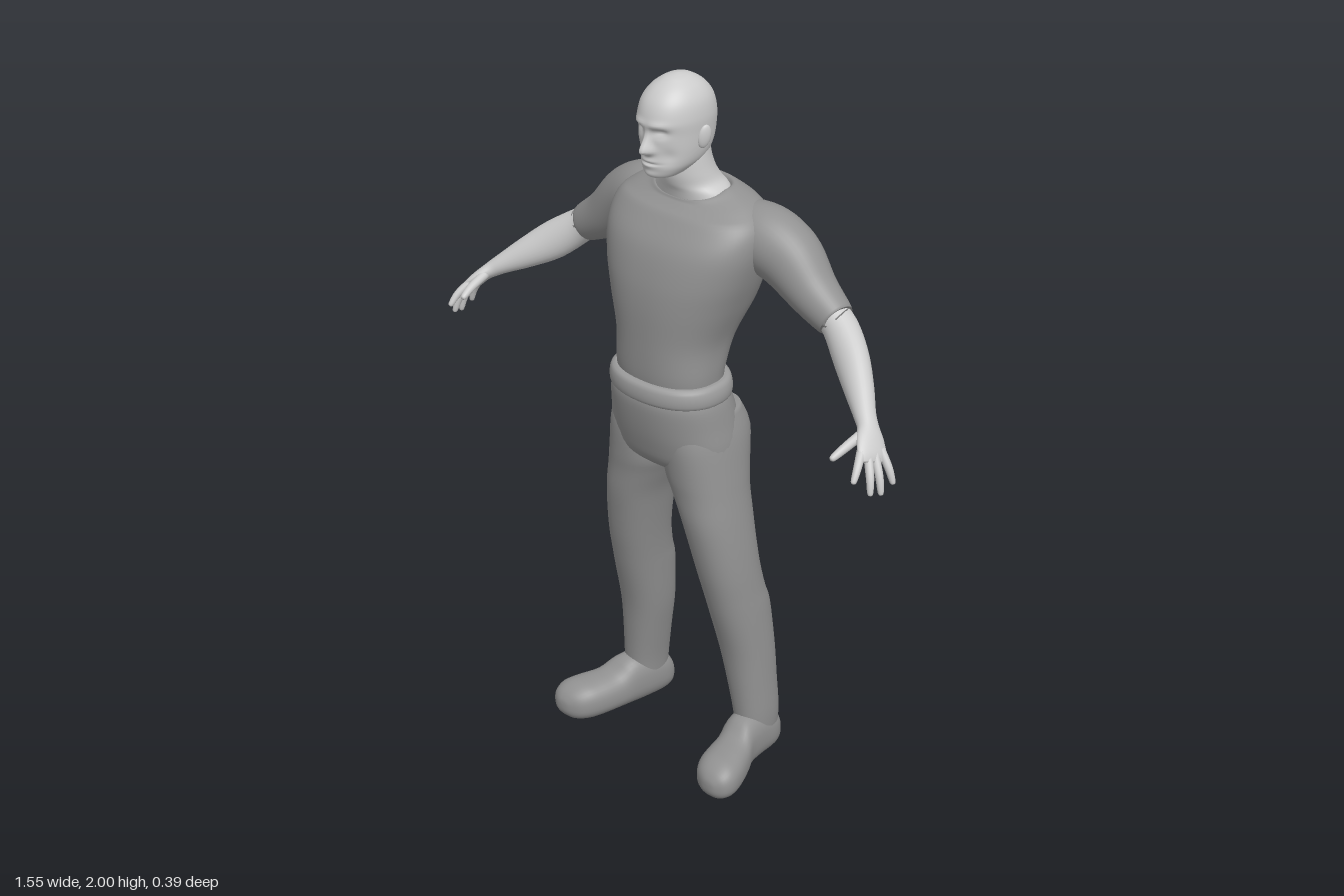
import * as THREE from 'three';

const V = (x, y, z) => new THREE.Vector3(x, y, z);
const bell = (d, w) => Math.exp(-(d * d) / (w * w));

// Smoothly subdivide a list of numeric rows (Catmull-Rom)
function refine(rows, steps) {
  const out = [];
  const at = (i) => rows[Math.min(Math.max(i, 0), rows.length - 1)];
  for (let i = 0; i < rows.length - 1; i++) {
    for (let k = 0; k < steps; k++) {
      const t = k / steps;
      out.push(at(i).map((b, c) => {
        const a = at(i - 1)[c], d = at(i + 1)[c], e = at(i + 2)[c];
        return b + 0.5 * t * (d - a + t * (2 * a - 5 * b + 4 * d - e + t * (3 * (b - d) + e - a)));
      }));
    }
  }
  out.push(rows[rows.length - 1]);
  return out;
}

// Superellipse ring around c with half axes u and v
function ring(c, u, v, n, p) {
  const bend = (s) => Math.sign(s) * Math.abs(s) ** (2 / p);
  return Array.from({ length: n }, (_, j) => {
    const a = (j / n) * Math.PI * 2;
    return c.clone().addScaledVector(u, bend(Math.cos(a))).addScaledVector(v, bend(Math.sin(a)));
  });
}

// Level rings from rows [y, xMin, xMax, zFront, zBack]
const levelRings = (rows, n = 40, p = 2.2, steps = 4) => refine(rows, steps).map(([y, a, b, f, k]) =>
  ring(V((a + b) / 2, y, (f + k) / 2), V((b - a) / 2, 0, 0), V(0, 0, (f - k) / 2), n, p));

// Level rings symmetric about x = 0 from rows [y, halfWidth, zFront, zBack]
const bodyRings = (rows, n, p, steps) =>
  levelRings(rows.map(([y, w, f, k]) => [y, -w, w, f, k]), n, p, steps);

// Rings across a limb path from rows [x, y, z, thickness, breadth]
function limbRings(rows, n = 28, steps = 4) {
  const fine = refine(rows, steps);
  const pts = fine.map((r) => V(r[0], r[1], r[2]));
  return fine.map((r, i) => {
    const t = pts[Math.min(i + 1, pts.length - 1)].clone().sub(pts[Math.max(i - 1, 0)]).normalize();
    const v = V(0, 0, 1).addScaledVector(t, -t.z).normalize();
    const u = t.clone().cross(v);
    return ring(pts[i], u.multiplyScalar(r[3]), v.multiplyScalar(r[4]), n, 2);
  });
}

// Skin rings into a closed mesh facing outward
function skinRings(rings, name, material, side = 1) {
  const n = rings[0].length, m = rings.length;
  const pts = rings.flat().map((p) => V(p.x * side, p.y, p.z));
  const index = [];
  for (let i = 0; i < m - 1; i++) {
    for (let j = 0; j < n; j++) {
      const a = i * n + j, b = i * n + (j + 1) % n;
      index.push(a, b, a + n, b, b + n, a + n);
    }
  }
  for (const i of [0, m - 1]) {
    const c = pts.length;
    const mid = V(0, 0, 0);
    for (let j = 0; j < n; j++) mid.addScaledVector(pts[i * n + j], 1 / n);
    pts.push(mid);
    for (let j = 0; j < n; j++) {
      const a = i * n + j, b = i * n + (j + 1) % n;
      if (i === 0) index.push(c, b, a); else index.push(c, a, b);
    }
  }
  let volume = 0;
  for (let k = 0; k < index.length; k += 3) {
    volume += pts[index[k]].dot(pts[index[k + 1]].clone().cross(pts[index[k + 2]]));
  }
  if (volume < 0) index.reverse();
  const geometry = new THREE.BufferGeometry().setFromPoints(pts);
  geometry.setIndex(index);
  geometry.computeVertexNormals();
  const mesh = new THREE.Mesh(geometry, material);
  mesh.name = name;
  return mesh;
}

const reshape = (rings, rule) => { rings.flat().forEach(rule); return rings; };

export function createModel() {
  const mat = (name, color) => Object.assign(new THREE.MeshStandardMaterial({ color }), { name });
  const skin = mat('skin', 0xcccccc);
  const cloth = mat('cloth', 0x929292);
  const trim = mat('belt', 0x9c9c9c);
  const model = new THREE.Group();
  model.name = 'standingMan';

  // Head with brow, eye sockets, nose, lips and chin
  const head = bodyRings([
    [1.742, 0.022, 0.095, 0.04], [1.75, 0.042, 0.112, 0.01], [1.77, 0.061, 0.119, -0.035],
    [1.79, 0.072, 0.121, -0.07], [1.82, 0.079, 0.122, -0.088], [1.86, 0.083, 0.124, -0.096],
    [1.9, 0.085, 0.127, -0.096], [1.94, 0.078, 0.115, -0.085], [1.97, 0.06, 0.09, -0.062],
    [1.99, 0.035, 0.058, -0.032], [1.997, 0.018, 0.038, -0.01], [2.0, 0.003, 0.018, 0.01],
  ], 96, 2.15, 8);
  model.add(skinRings(reshape(head, (p) => {
    if (p.z < 0.04) return;
    const { x, y } = p, ax = Math.abs(x);
    const nose = y > 1.822 ? bell(y - 1.822, 0.036) : bell(y - 1.822, 0.01);
    p.z += 0.03 * nose * bell(x, 0.009 + 0.007 * bell(y - 1.822, 0.02))
      + 0.006 * bell(y - 1.891, 0.01) * bell(ax - 0.03, 0.028)
      - 0.014 * bell(y - 1.872, 0.011) * bell(ax - 0.034, 0.017)
      + 0.006 * bell(y - 1.868, 0.006) * bell(ax - 0.034, 0.011)
      + 0.008 * bell(y - 1.787, 0.014) * bell(x, 0.026)
      - 0.008 * bell(y - 1.788, 0.0035) * bell(x, 0.026)
      - 0.006 * bell(y - 1.81, 0.02) * bell(ax - 0.05, 0.015)
      + 0.006 * bell(y - 1.757, 0.012) * bell(x, 0.022);
  }), 'head', skin));

  // Neck spreading into the collar
  model.add(skinRings(bodyRings([
    [1.82, 0.066, 0.05, -0.075], [1.78, 0.07, 0.056, -0.08], [1.74, 0.076, 0.054, -0.094],
    [1.71, 0.085, 0.046, -0.112], [1.688, 0.108, 0.036, -0.124], [1.65, 0.13, 0.025, -0.13],
  ], 40, 2), 'neck', skin));

  // Shirt body: scooped neckline, groove along the spine
  const shirt = bodyRings([
    [1.16, 0.15, 0.15, -0.07], [1.21, 0.154, 0.157, -0.076], [1.3, 0.16, 0.159, -0.118],
    [1.4, 0.195, 0.159, -0.172], [1.48, 0.222, 0.15, -0.187], [1.56, 0.24, 0.127, -0.19],
    [1.62, 0.235, 0.088, -0.184], [1.66, 0.195, 0.055, -0.17], [1.685, 0.14, 0.038, -0.148],
    [1.696, 0.11, 0.032, -0.13], [1.686, 0.1, 0.025, -0.12],
  ], 64, 2.3, 5);
  model.add(skinRings(reshape(shirt, (p) => {
    if (p.z < -0.04) p.z += 0.014 * bell(p.x, 0.035) * bell(p.y - 1.4, 0.17);
    if (p.y > 1.64 && p.z > -0.05) p.y -= 0.025 * Math.min(1, (p.y - 1.64) / 0.05) * Math.min(1, (p.z + 0.05) / 0.08);
  }), 'shirtBody', cloth));

  // Waistband
  model.add(skinRings(bodyRings([
    [1.132, 0.165, 0.162, -0.085], [1.138, 0.174, 0.173, -0.094], [1.16, 0.176, 0.176, -0.096],
    [1.182, 0.17, 0.172, -0.092], [1.19, 0.158, 0.16, -0.08],
  ], 56, 2.2, 3), 'belt', trim));

  // Trouser seat
  model.add(skinRings(bodyRings([
    [1.15, 0.165, 0.165, -0.086], [1.12, 0.175, 0.17, -0.096], [1.06, 0.184, 0.163, -0.112],
    [1.0, 0.192, 0.15, -0.108], [0.95, 0.185, 0.133, -0.09], [0.92, 0.12, 0.1, -0.06],
    [0.905, 0.04, 0.05, -0.02],
  ], 56, 2.2), 'trouserSeat', cloth));

  for (const [side, label] of [[1, 'left'], [-1, 'right']]) {
    const add = (rings, name, material) => model.add(skinRings(rings, label + name, material, side));

    // Ear
    const ear = new THREE.Mesh(new THREE.SphereGeometry(1, 20, 14), skin);
    ear.scale.set(0.009, 0.032, 0.018);
    ear.position.set(side * 0.087, 1.85, 0.008);
    ear.rotation.set(-0.15, side * -0.35, side * -0.15);
    ear.name = label + 'Ear';
    model.add(ear);

    // Trouser leg
    add(levelRings([
      [1.09, 0.01, 0.17, 0.12, -0.1], [1.02, 0, 0.19, 0.135, -0.128], [0.92, 0.002, 0.205, 0.128, -0.112],
      [0.86, 0.025, 0.213, 0.12, -0.1], [0.785, 0.055, 0.224, 0.113, -0.096], [0.7, 0.075, 0.235, 0.098, -0.096],
      [0.62, 0.09, 0.243, 0.082, -0.102], [0.55, 0.1, 0.248, 0.065, -0.116], [0.49, 0.106, 0.253, 0.05, -0.133],
      [0.36, 0.12, 0.26, 0.016, -0.143], [0.25, 0.14, 0.264, 0, -0.146], [0.15, 0.158, 0.267, -0.01, -0.15],
      [0.08, 0.165, 0.262, -0.015, -0.148],
    ]), 'TrouserLeg', cloth);

    // Shoe from heel to toe: [z, xCentre, halfWidth, bottom, top]
    const shoe = refine([
      [-0.161, 0.208, 0.008, 0.04, 0.06], [-0.154, 0.208, 0.034, 0.014, 0.1], [-0.12, 0.211, 0.05, 0.004, 0.135],
      [-0.06, 0.216, 0.054, 0.004, 0.155], [0, 0.226, 0.056, 0.005, 0.153], [0.045, 0.242, 0.062, 0.004, 0.124],
      [0.1, 0.26, 0.069, 0.002, 0.118], [0.145, 0.273, 0.068, 0.003, 0.114], [0.177, 0.28, 0.053, 0.012, 0.098],
      [0.194, 0.284, 0.026, 0.03, 0.077], [0.198, 0.285, 0.005, 0.048, 0.06],
    ], 4).map(([z, x, w, b, t]) => ring(V(x, (b + t) / 2, z), V(w, 0, 0), V(0, (t - b) / 2, 0), 36, 2.4));
    add(shoe, 'Shoe', cloth);

    // Sleeve over shoulder and upper arm
    add(limbRings([
      [0.11, 1.6, -0.085, 0.065, 0.07], [0.2, 1.58, -0.095, 0.09, 0.088], [0.28, 1.543, -0.104, 0.089, 0.085],
      [0.365, 1.475, -0.1, 0.068, 0.067], [0.44, 1.428, -0.096, 0.054, 0.052], [0.447, 1.424, -0.095, 0.046, 0.044],
    ], 40, 5), 'Sleeve', cloth);

    // Forearm flowing into the palm
    add(limbRings([
      [0.41, 1.447, -0.098, 0.042, 0.042], [0.465, 1.41, -0.092, 0.048, 0.045], [0.535, 1.357, -0.055, 0.053, 0.042],
      [0.6, 1.312, -0.01, 0.042, 0.036], [0.65, 1.278, 0.028, 0.029, 0.029], [0.677, 1.258, 0.046, 0.023, 0.029],
      [0.7, 1.238, 0.064, 0.018, 0.04], [0.722, 1.212, 0.081, 0.014, 0.045], [0.733, 1.196, 0.089, 0.007, 0.036],
    ]), 'ForearmAndPalm', skin);

    // Thumb and fingers: base, middle joint, tip
    const digits = {
      Thumb: [[0.68, 1.25, 0.07], [0.675, 1.232, 0.128], [0.667, 1.212, 0.174]],
      IndexFinger: [[0.708, 1.226, 0.107], [0.724, 1.197, 0.139], [0.732, 1.165, 0.164]],
      MiddleFinger: [[0.72, 1.214, 0.095], [0.745, 1.17, 0.115], [0.757, 1.126, 0.126]],
      RingFinger: [[0.725, 1.212, 0.076], [0.752, 1.165, 0.088], [0.765, 1.118, 0.094]],
      LittleFinger: [[0.724, 1.216, 0.052], [0.752, 1.175, 0.053], [0.768, 1.133, 0.051]],
    };
    for (const [name, [a, b, c]] of Object.entries(digits)) {
      const r = name === 'Thumb' ? 0.012 : 0.0105;
      const near = c.map((v, i) => v + (b[i] - v) * 0.15);
      add(limbRings([[...a, r * 1.1, r * 1.1], [...b, r, r], [...near, r * 0.72, r * 0.72], [...c, 0.002, 0.002]], 14),
        name, skin);
    }
  }
  return model;
}
